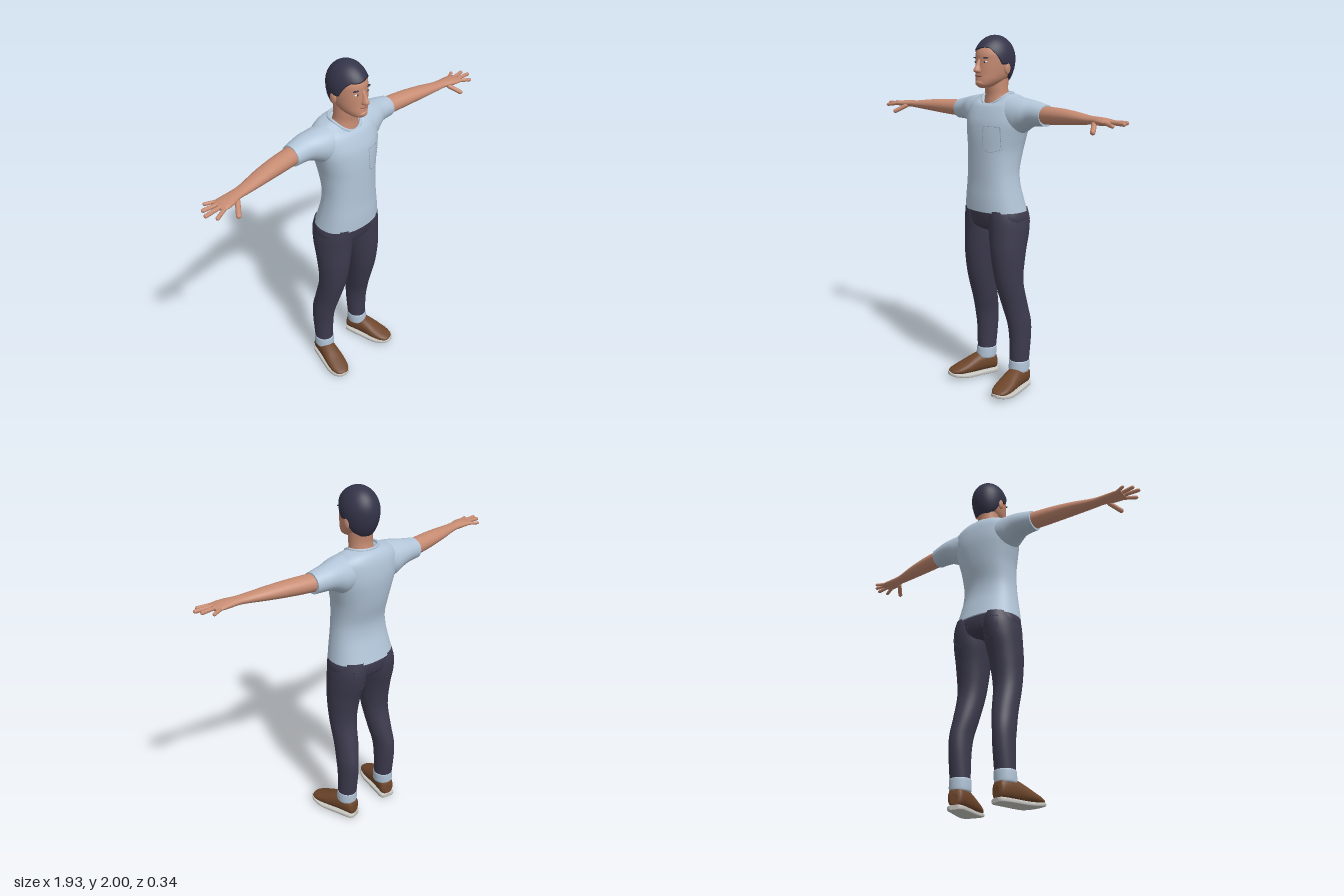
import * as THREE from 'three';
import { mergeGeometries } from 'three/addons/utils/BufferGeometryUtils.js';

const V = (x, y, z) => new THREE.Vector3(x, y, z);
const paint = (name, color) => Object.assign(new THREE.MeshStandardMaterial({ color }), { name });

// Ring layouts: each turns a row of numbers into a centre and two half axes
const upward = ([y, cx, cz, rx, rz, dip = 0]) => ({ c: V(cx, y, cz), u: V(rx, 0, 0), v: V(0, 0, -rz), dip });
const sideways = ([x, cy, cz, ry, rz]) => ({ c: V(x, cy, cz), u: V(0, ry, 0), v: V(0, 0, rz), dip: 0 });
const forward = ([z, lo, hi, rx]) => ({ c: V(0, (lo + hi) / 2, z), u: V(rx, 0, 0), v: V(0, (hi - lo) / 2, 0), dip: 0 });

// Smooth Catmull-Rom blend of the rows
function blend(rows, sub) {
  const out = [], at = i => rows[Math.min(Math.max(i, 0), rows.length - 1)];
  for (let i = 0; i < rows.length - 1; i++) {
    for (let s = 0; s < sub; s++) {
      const t = s / sub, [a, b, c, d] = [at(i - 1), at(i), at(i + 1), at(i + 2)];
      out.push(b.map((q, k) => q + 0.5 * t * (c[k] - a[k] + t * (2 * a[k] - 5 * q + 4 * c[k] - d[k] + t * (3 * (q - c[k]) + d[k] - a[k])))));
    }
  }
  out.push(at(rows.length - 1));
  return out;
}

function build(pos, idx) {
  const g = new THREE.BufferGeometry();
  g.setAttribute('position', new THREE.Float32BufferAttribute(pos, 3));
  g.setIndex(idx);
  g.computeVertexNormals();
  return g;
}

// Skin over superellipse rings, closed at both ends
function loft(rows, layout, p = 2, n = 40, sub = 5) {
  const pos = [], idx = [];
  const rings = blend(rows, sub).map(layout);
  const pow = q => Math.sign(q) * Math.abs(q) ** (2 / p);
  const addRing = ({ c, u, v, dip }) => {
    for (let j = 0; j < n; j++) {
      const t = (j / n) * Math.PI * 2, sn = Math.sin(t);
      const q = c.clone().addScaledVector(u, pow(Math.cos(t))).addScaledVector(v, pow(sn));
      pos.push(q.x, q.y - dip * Math.max(0, -sn) ** 1.5, q.z);
    }
  };
  rings.forEach(addRing);
  for (let i = 0; i < rings.length - 1; i++) {
    for (let j = 0; j < n; j++) {
      const a = i * n + j, b = i * n + (j + 1) % n;
      idx.push(a, b, a + n, b, b + n, a + n);
    }
  }
  [rings[0], rings[rings.length - 1]].forEach((r, end) => {
    const s = pos.length / 3;
    addRing(r);
    pos.push(r.c.x, r.c.y - r.dip * 1.3, r.c.z);
    for (let j = 0; j < n; j++) {
      const k = s + (j + 1) % n;
      idx.push(s + n, ...(end ? [s + j, k] : [k, s + j]));
    }
  });
  return build(pos, idx);
}

function mirrored(geo) {
  const g = geo.clone().scale(-1, 1, 1), ix = g.index;
  for (let i = 0; i < ix.count; i += 3) {
    const b = ix.getX(i + 1);
    ix.setX(i + 1, ix.getX(i + 2));
    ix.setX(i + 2, b);
  }
  return g;
}

const ball = (x, y, z, rx, ry, rz) => new THREE.SphereGeometry(1, 20, 14).scale(rx, ry, rz).translate(x, y, z);

function finger(a, b, r) {
  const d = b.clone().sub(a), len = d.length();
  const turn = new THREE.Quaternion().setFromUnitVectors(V(0, 1, 0), d.normalize());
  const mid = a.clone().add(b).multiplyScalar(0.5);
  return new THREE.CapsuleGeometry(r, len - 2 * r, 5, 12).applyQuaternion(turn).translate(mid.x, mid.y, mid.z);
}

// Hair cap: each column runs from the crown down to the hairline
function hairCap() {
  const line = [[0, 1.928], [0.7, 1.925], [0.95, 1.905], [1.15, 1.875], [1.3, 1.845], [1.6, 1.845], [1.95, 1.78], [2.5, 1.755], [3.15, 1.75]];
  const hairline = t => {
    const a = Math.abs(t), k = Math.max(1, line.findIndex(q => q[0] >= a));
    const f = (a - line[k - 1][0]) / (line[k][0] - line[k - 1][0]);
    return line[k - 1][1] + f * (line[k][1] - line[k - 1][1]) + (a < 0.9 ? 0.006 * Math.sin(3.5 * t) : 0);
  };
  const pos = [], idx = [], n = 72, m = 22, cy = 1.875;
  for (let i = 0; i <= m + 1; i++) {
    for (let j = 0; j < n; j++) {
      const t = (j / n) * 2 * Math.PI - Math.PI, y = hairline(t);
      const end = Math.acos((y - cy) / (y > cy ? 0.125 : 0.16));
      const s = Math.min(i / m, 1), phi = s * end, c = Math.cos(phi);
      const w = Math.sin(phi) * (i > m ? 0.86 : 1), quiff = 0.012 * Math.exp(-((t / 0.7) ** 2)) * s * s * (i > m ? 0 : 1);
      pos.push(Math.sin(t) * w * 0.1, cy + c * (c > 0 ? 0.125 : 0.16), -0.01 + Math.cos(t) * w * 0.118 + quiff);
      if (i <= m) {
        const a = i * n + j, b = i * n + (j + 1) % n;
        idx.push(a, a + n, b, b, a + n, b + n);
      }
    }
  }
  return build(pos, idx);
}

// Dashed seam dropped on to a surface from the front (1) or the back (-1)
function seam(targets, corners, side) {
  const ray = new THREE.Raycaster(), dashes = [];
  const drop = (x, y) => {
    ray.set(V(x, y, side), V(0, 0, -side));
    return ray.intersectObjects(targets)[0]?.point;
  };
  for (let i = 0; i < corners.length - 1; i++) {
    const [[x0, y0], [x1, y1]] = [corners[i], corners[i + 1]];
    const steps = Math.max(2, Math.round(Math.hypot(x1 - x0, y1 - y0) / 0.014));
    for (let k = 0; k < steps; k++) {
      const [a, b] = [k / steps, (k + 0.65) / steps].map(f => drop(x0 + (x1 - x0) * f, y0 + (y1 - y0) * f));
      if (a && b) dashes.push(new THREE.TubeGeometry(new THREE.LineCurve3(a, b), 1, 0.0018, 5));
    }
  }
  return mergeGeometries(dashes);
}

export function createModel() {
  const skin = paint('skin', 0xc68b72), dark = paint('hair', 0x34344a), shirt = paint('shirt', 0xb2c5d8);
  const denim = paint('denim', 0x3d3b4e), leather = paint('leather', 0x6e462b), rubber = paint('sole', 0xc6c5c0);
  const lip = paint('lips', 0xa8685a), white = paint('eyeWhite', 0xd8d2cc), thread = paint('thread', 0x8799ab);
  const model = new THREE.Group();
  model.name = 'standingMan';
  const add = (name, geo, mat) => {
    const mesh = new THREE.Mesh(geo, mat);
    mesh.name = name;
    model.add(mesh);
    return mesh;
  };
  const pair = (name, geo, mat) => [add('left' + name, geo, mat), add('right' + name, mirrored(geo), mat)];

  // Head and face
  add('head', loft([[1.722, 0, 0.065, 0.02, 0.03], [1.735, 0, 0.052, 0.045, 0.06], [1.76, 0, 0.025, 0.067, 0.088],
    [1.79, 0, 0.005, 0.08, 0.105], [1.83, 0, -0.005, 0.088, 0.113], [1.87, 0, -0.008, 0.092, 0.113],
    [1.9, 0, -0.008, 0.092, 0.111], [1.93, 0, -0.01, 0.084, 0.1], [1.96, 0, -0.01, 0.06, 0.075], [1.98, 0, -0.01, 0.02, 0.03]], upward), skin);
  add('neck', loft([[1.6, 0, -0.035, 0.1, 0.08], [1.64, 0, -0.03, 0.08, 0.072], [1.68, 0, -0.025, 0.067, 0.064],
    [1.72, 0, -0.02, 0.064, 0.064], [1.77, 0, -0.02, 0.064, 0.07]], upward), skin);
  add('nose', loft([[1.8, 0, 0.104, 0.013, 0.014], [1.812, 0, 0.11, 0.019, 0.029], [1.84, 0, 0.105, 0.012, 0.02],
    [1.875, 0, 0.098, 0.009, 0.008]], upward, 2, 20), skin);
  add('chin', ball(0, 1.748, 0.098, 0.03, 0.018, 0.02), skin);
  add('lips', ball(0, 1.786, 0.106, 0.027, 0.008, 0.012), lip);
  pair('Ear', ball(0.091, 1.825, -0.018, 0.011, 0.033, 0.02), skin);
  pair('Eye', ball(0.037, 1.858, 0.09, 0.015, 0.006, 0.009), white);
  pair('Iris', ball(0.037, 1.858, 0.095, 0.006, 0.006, 0.006), dark);
  pair('Eyebrow', ball(0.038, 1.88, 0.091, 0.023, 0.004, 0.009).rotateZ(0), dark);
  add('hair', hairCap(), dark);

  // T-shirt
  const body = add('shirtBody', loft([[1.05, 0, -0.018, 0.193, 0.143, 0], [1.12, 0, -0.008, 0.18, 0.133, 0], [1.2, 0, 0, 0.167, 0.121, 0],
    [1.28, 0, 0, 0.16, 0.12, 0], [1.38, 0, -0.013, 0.165, 0.132, 0], [1.46, 0, -0.022, 0.182, 0.138, 0],
    [1.53, 0, -0.03, 0.2, 0.137, 0], [1.59, 0, -0.037, 0.205, 0.127, 0.01], [1.64, 0, -0.042, 0.195, 0.112, 0.02],
    [1.675, 0, -0.04, 0.15, 0.095, 0.04], [1.69, 0, -0.03, 0.09, 0.078, 0.06]], upward, 2.25, 56), shirt);
  pair('Sleeve', loft([[0.1, 1.58, -0.04, 0.1, 0.1], [0.17, 1.576, -0.045, 0.099, 0.096], [0.22, 1.587, -0.052, 0.081, 0.086],
    [0.27, 1.592, -0.06, 0.067, 0.073], [0.355, 1.586, -0.057, 0.056, 0.06]], sideways), shirt);
  const rim = Array.from({ length: 24 }, (_, i) => {
    const t = (i / 24) * Math.PI * 2, s = Math.sin(t);
    return V(0.09 * Math.cos(t), 1.69 - 0.06 * Math.max(0, -s) ** 1.5, -0.03 - 0.078 * s);
  });
  add('collar', new THREE.TubeGeometry(new THREE.CatmullRomCurve3(rim, true), 60, 0.008, 8, true), shirt);
  add('chestPocketSeam', seam([body], [[0.04, 1.52], [0.04, 1.4], [0.09, 1.38], [0.14, 1.4], [0.14, 1.52], [0.04, 1.52]], 1), thread);

  // Arms and hands
  pair('Arm', loft([[0.33, 1.588, -0.057, 0.047, 0.053], [0.42, 1.59, -0.045, 0.045, 0.052], [0.5, 1.592, -0.033, 0.041, 0.05],
    [0.6, 1.593, -0.016, 0.033, 0.045], [0.7, 1.593, 0.003, 0.023, 0.036], [0.75, 1.594, 0.01, 0.02, 0.034],
    [0.8, 1.593, 0.018, 0.02, 0.042], [0.845, 1.592, 0.022, 0.016, 0.047], [0.878, 1.591, 0.022, 0.009, 0.043]], sideways, 2, 32), skin);
  const fingers = [
    [V(0.85, 1.592, 0.053), V(0.93, 1.582, 0.086), 0.01], [V(0.85, 1.594, 0.034), V(0.965, 1.592, 0.042), 0.0105],
    [V(0.85, 1.594, 0.012), V(0.95, 1.595, 0.002), 0.01], [V(0.84, 1.592, -0.008), V(0.91, 1.59, -0.042), 0.009],
    [V(0.77, 1.588, 0.035), V(0.825, 1.543, 0.108), 0.013]];
  pair('Fingers', mergeGeometries(fingers.map(f => finger(...f))), skin);

  // Trousers
  const hips = add('hips', loft([[0.94, 0, -0.02, 0.15, 0.085], [0.965, 0, -0.022, 0.188, 0.118], [1.02, 0, -0.022, 0.199, 0.131],
    [1.07, 0, -0.018, 0.183, 0.13]], upward, 2.3), denim);
  const legs = pair('TrouserLeg', loft([[0.15, 0.145, -0.07, 0.054, 0.055], [0.3, 0.144, -0.077, 0.056, 0.067], [0.4, 0.142, -0.07, 0.059, 0.075],
    [0.5, 0.131, -0.047, 0.066, 0.078], [0.65, 0.122, -0.01, 0.077, 0.083], [0.8, 0.115, -0.008, 0.09, 0.103],
    [0.92, 0.106, -0.022, 0.098, 0.122], [1, 0.1, -0.025, 0.098, 0.13], [1.06, 0.093, -0.02, 0.09, 0.128]], upward), denim);
  for (const s of [1, -1]) {
    const outline = [[0.05, 1.02], [0.055, 0.92], [0.1, 0.895], [0.145, 0.92], [0.15, 1.02], [0.05, 1.02]].map(([x, y]) => [s * x, y]);
    add(s > 0 ? 'leftBackPocketSeam' : 'rightBackPocketSeam', seam([hips, ...legs], outline, -1), denim);
  }
  pair('Cuff', loft([[0.108, 0.146, -0.068, 0.055, 0.058], [0.12, 0.146, -0.068, 0.058, 0.061], [0.165, 0.145, -0.07, 0.058, 0.06],
    [0.174, 0.145, -0.07, 0.055, 0.057]], upward), shirt);

  // Shoes, toes turned out
  const placeShoe = g => g.rotateY(0.25).translate(0.15, 0, -0.065);
  pair('ShoeUpper', placeShoe(loft([[-0.068, 0.03, 0.09, 0.024], [-0.055, 0.02, 0.122, 0.042], [-0.01, 0.02, 0.138, 0.048],
    [0.04, 0.02, 0.134, 0.05], [0.09, 0.02, 0.116, 0.054], [0.14, 0.022, 0.092, 0.057], [0.19, 0.025, 0.071, 0.052],
    [0.225, 0.03, 0.056, 0.035], [0.236, 0.034, 0.048, 0.015]], forward, 2.3, 32)), leather);
  pair('ShoeSole', placeShoe(loft([[-0.073, 0.004, 0.028, 0.024], [-0.057, 0, 0.03, 0.045], [0, 0, 0.03, 0.051], [0.1, 0, 0.028, 0.058],
    [0.15, 0.003, 0.03, 0.061], [0.2, 0.012, 0.037, 0.054], [0.23, 0.02, 0.042, 0.037], [0.244, 0.027, 0.043, 0.015]], forward, 4, 32)), rubber);
  return model;
}
